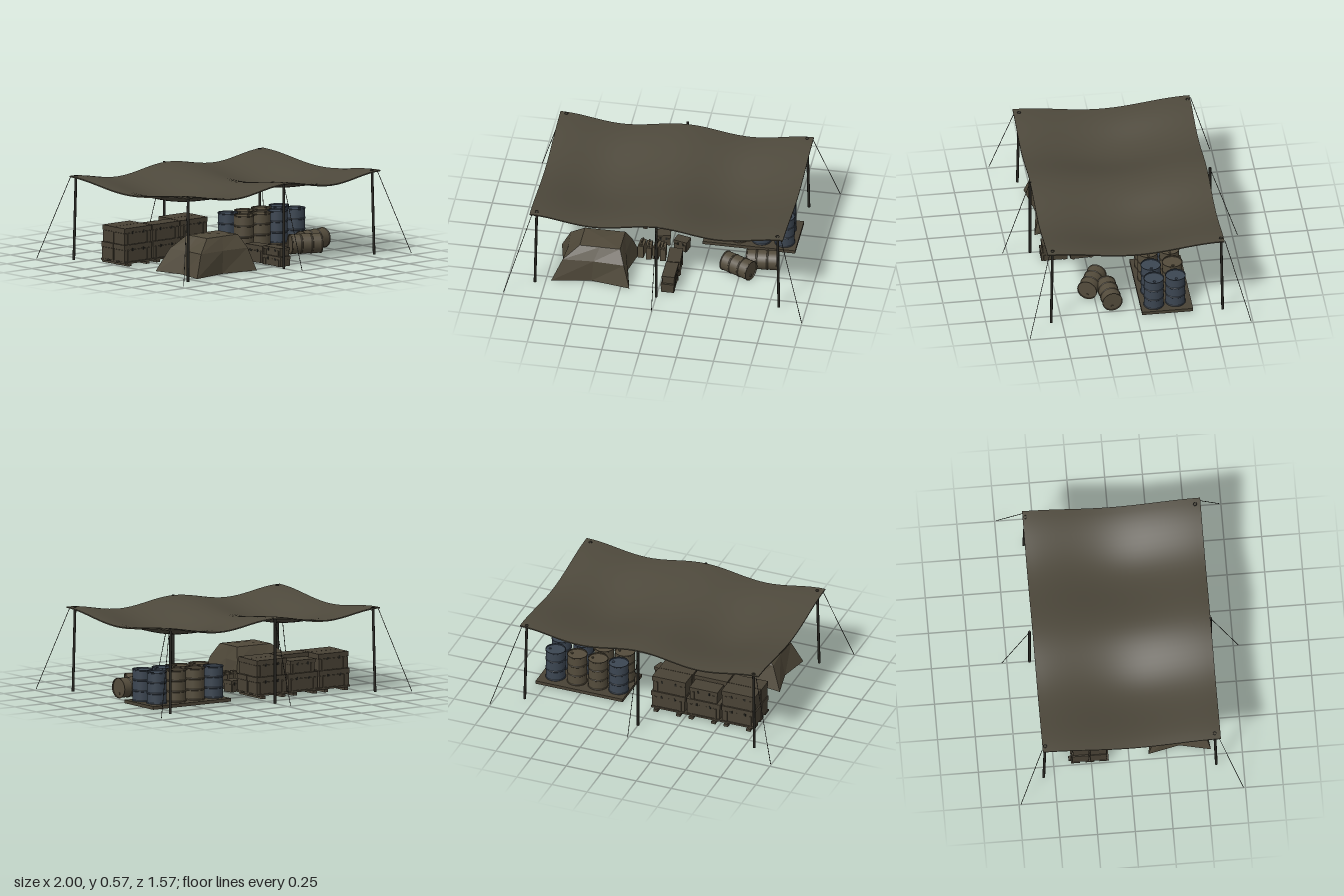
import * as THREE from 'three';

const paint = (name, color, side = THREE.FrontSide) => {
  const m = new THREE.MeshStandardMaterial({ color, side });
  m.name = name;
  return m;
};

export function createModel() {
  const model = new THREE.Group();
  model.name = 'supplyShelter';
  const canvas = paint('canvas', 0x4e493c);
  const tentCloth = paint('tentCloth', 0x4f4839, THREE.DoubleSide);
  tentCloth.flatShading = true;
  const wood = paint('wood', 0x494235);
  const olive = paint('oliveDrumPaint', 0x544c3c);
  const blue = paint('blueDrumPaint', 0x3c4652);
  const dark = paint('darkMetal', 0x25241f);

  const add = (name, geo, mat, x = 0, y = 0, z = 0, parent = model) => {
    const m = new THREE.Mesh(geo, mat);
    m.name = name;
    m.position.set(x, y, z);
    parent.add(m);
    return m;
  };
  const box = (name, w, h, d, mat, x, y, z, parent) =>
    add(name, new THREE.BoxGeometry(w, h, d), mat, x, y, z, parent);
  const rod = (name, a, b, r, sides) => {
    const p = new THREE.Vector3(...a), q = new THREE.Vector3(...b);
    const dir = q.clone().sub(p);
    const m = add(name, new THREE.CylinderGeometry(r, r, dir.length(), sides), dark);
    m.position.copy(p.add(q).multiplyScalar(0.5));
    m.quaternion.setFromUnitVectors(new THREE.Vector3(0, 1, 0), dir.normalize());
    return m;
  };

  // Sagging tarp: a thin slab lowered between its six supports
  const tarpHeight = (x, z) => {
    const sx = Math.sin((Math.PI * x) / 0.85) ** 2;
    const sz = Math.cos((Math.PI * (z - 0.01)) / 1.18) ** 2;
    return 0.562 - 0.05 * sx - 0.052 * sz - 0.026 * sx * sz;
  };
  const tarp = new THREE.BoxGeometry(1.7, 0.008, 1.18, 40, 1, 28);
  tarp.translate(0, 0, 0.01);
  const tp = tarp.attributes.position;
  for (let i = 0; i < tp.count; i++) tp.setY(i, tp.getY(i) + tarpHeight(tp.getX(i), tp.getZ(i)));
  tarp.computeVertexNormals();
  add('tarp', tarp, canvas);

  // Poles, guy ropes and corner eyelets
  for (const s of [-1, 1]) {
    rod('middlePole', [0, 0, s * 0.6], [0, 0.568, s * 0.6], 0.009, 10);
    rod('middleRope', [0, 0.562, s * 0.6], [0, 0.01, s * 0.783], 0.0022, 5);
    for (const t of [-1, 1]) {
      rod('cornerPole', [t * 0.818, 0, s * 0.572], [t * 0.808, 0.562, s * 0.562], 0.009, 10);
      rod('cornerRope', [t * 0.835, 0.558, s * 0.585], [t * 1, 0.01, s * 0.737], 0.0022, 5);
      const eyelet = add('eyelet', new THREE.TorusGeometry(0.011, 0.002, 6, 14), dark, t * 0.808, 0.566, s * 0.562);
      eyelet.rotation.x = Math.PI / 2;
    }
  }

  // Drums: one lathe profile with rims and two rolling hoops
  const half = [[0.064, 0.098], [0.064, 0.106], [0.068, 0.106], [0.068, 0.1], [0.0655, 0.098],
    [0.0655, 0.042], [0.0685, 0.039], [0.0685, 0.033], [0.0655, 0.03]];
  const profile = [[0, 0.098], ...half, ...half.slice().reverse().map(([r, y]) => [r, -y]), [0, -0.098]]
    .reverse().map(([r, y]) => new THREE.Vector2(r, y));
  // Straight faces between profile points need split normals, so each span is its own flat-sided band
  const drum = (mat, x, y, z) => {
    const g = new THREE.Group();
    g.name = mat === blue ? 'blueDrum' : 'oliveDrum';
    g.position.set(x, y, z);
    for (let i = 0; i < profile.length - 1; i++) {
      add('drumBand', new THREE.LatheGeometry([profile[i], profile[i + 1]], 24), mat, 0, 0, 0, g);
    }
    add('bung', new THREE.CylinderGeometry(0.009, 0.009, 0.006, 10), mat, 0.038, 0.101, 0, g);
    model.add(g);
    return g;
  };
  const xs = [0.285, 0.432, 0.58, 0.735];
  [olive, olive, blue, blue].forEach((m, i) => drum(m, xs[i], 0.131, -0.124));
  [blue, olive, olive, blue].forEach((m, i) => drum(m, xs[i] - 0.015, 0.131, -0.27));
  for (const [x, z, yaw] of [[0.49, 0.255, -0.45], [0.635, 0.16, 0.08]]) {
    const d = drum(olive, x, 0.07, z);
    d.rotation.set(0, yaw, -Math.PI / 2, 'YXZ');
  }
  box('drumPallet', 0.62, 0.022, 0.34, wood, 0.51, 0.013, -0.205);

  // Crate with lid, side battens and latches
  const crate = (name, w, h, d, x, y, z, yaw = 0) => {
    const g = new THREE.Group();
    g.name = name;
    g.position.set(x, y, z);
    g.rotation.y = yaw;
    box('crateBody', w - 0.006, h * 0.68, d - 0.006, wood, 0, h * 0.34, 0, g);
    box('crateLid', w, h * 0.3, d, wood, 0, h * 0.85, 0, g);
    for (const s of [-1, 1]) {
      box('crateBatten', 0.014, h * 0.66, d + 0.004, wood, s * w * 0.36, h * 0.33, 0, g);
      for (const t of [-1, 1]) box('latch', 0.012, 0.018, 0.005, dark, s * w * 0.2, h * 0.7, t * d * 0.5, g);
    }
    model.add(g);
  };

  // Stacked crates on a pallet of skids
  [-0.625, -0.375, -0.125].forEach((x, i) => {
    for (const [j, z] of [-0.203, -0.322].entries()) {
      const low = i === 1 && j === 1;
      crate('lowerCrate', 0.24, 0.112, 0.114, x, 0.03, z);
      crate('upperCrate', low ? 0.2 : 0.238, low ? 0.085 : 0.11, 0.112, x + 0.004 * (j - i), 0.144, z + 0.004 * j);
    }
    for (const s of [-1, 1]) box('skid', 0.03, 0.018, 0.26, wood, x + s * 0.08, 0.009, -0.27);
  });
  for (const z of [-0.165, -0.26, -0.355]) box('palletBoard', 0.74, 0.012, 0.06, wood, -0.375, 0.024, z);

  // Long crates at the front, laid along z
  crate('frontLowerCrate', 0.18, 0.066, 0.09, 0.065, 0, 0.452, Math.PI / 2);
  crate('frontUpperCrate', 0.17, 0.055, 0.085, 0.068, 0.067, 0.448, Math.PI / 2);
  crate('frontRearCrate', 0.16, 0.115, 0.09, 0.068, 0, 0.27, Math.PI / 2 + 0.06);

  // Fuel cans with caps and handles
  [-0.175, -0.125, -0.075, -0.03].forEach((x, i) => {
    const can = new THREE.Group();
    can.name = 'fuelCan';
    can.position.set(x, 0, 0.14 + 0.012 * (i % 2));
    can.rotation.y = 0.08 * (i % 2 ? 1 : -1);
    box('canBody', 0.038, 0.092, 0.09, olive, 0, 0.046, 0, can);
    box('canHandle', 0.008, 0.008, 0.05, olive, 0, 0.106, -0.01, can);
    for (const z of [-0.033, 0.013]) box('canHandlePost', 0.008, 0.012, 0.006, olive, 0, 0.097, z, can);
    add('canCap', new THREE.CylinderGeometry(0.009, 0.009, 0.014, 10), olive, 0, 0.098, 0.033, can);
    model.add(can);
  });

  // Loose ammunition boxes
  crate('smallBox', 0.1, 0.078, 0.075, -0.06, 0, -0.015, 0.2);
  crate('smallBox', 0.095, 0.076, 0.07, 0.075, 0, 0.03, -0.25);

  // Tent: rings of eight points, the hem drawn in between its pegged corners
  const ring = (y, x0, x1, z0, z1, pull) => {
    const cx = (x0 + x1) / 2, cz = (z0 + z1) / 2;
    return [[x0, y, z1], [cx, y, z1 - pull], [x1, y, z1], [x1 - pull, y, cz],
      [x1, y, z0], [cx, y, z0 + pull], [x0, y, z0], [x0 + pull, y, cz]];
  };
  const rings = [ring(0.003, -0.715, -0.19, 0.13, 0.545, 0.045), ring(0.155, -0.645, -0.235, 0.19, 0.505, 0.012),
    ring(0.242, -0.54, -0.27, 0.245, 0.445, 0)];
  const pts = [...rings.flat(), [-0.405, 0.252, 0.345]].flat();
  const idx = [];
  for (let k = 0; k < 8; k++) {
    const n = (k + 1) % 8;
    for (const r of [0, 8]) idx.push(r + k, r + n, r + 8 + n, r + k, r + 8 + n, r + 8 + k);
    idx.push(16 + k, 16 + n, 24);
  }
  const tent = new THREE.BufferGeometry();
  tent.setAttribute('position', new THREE.Float32BufferAttribute(pts, 3));
  tent.setIndex(idx);
  tent.computeVertexNormals();
  add('tent', tent, tentCloth);

  return model;
}
